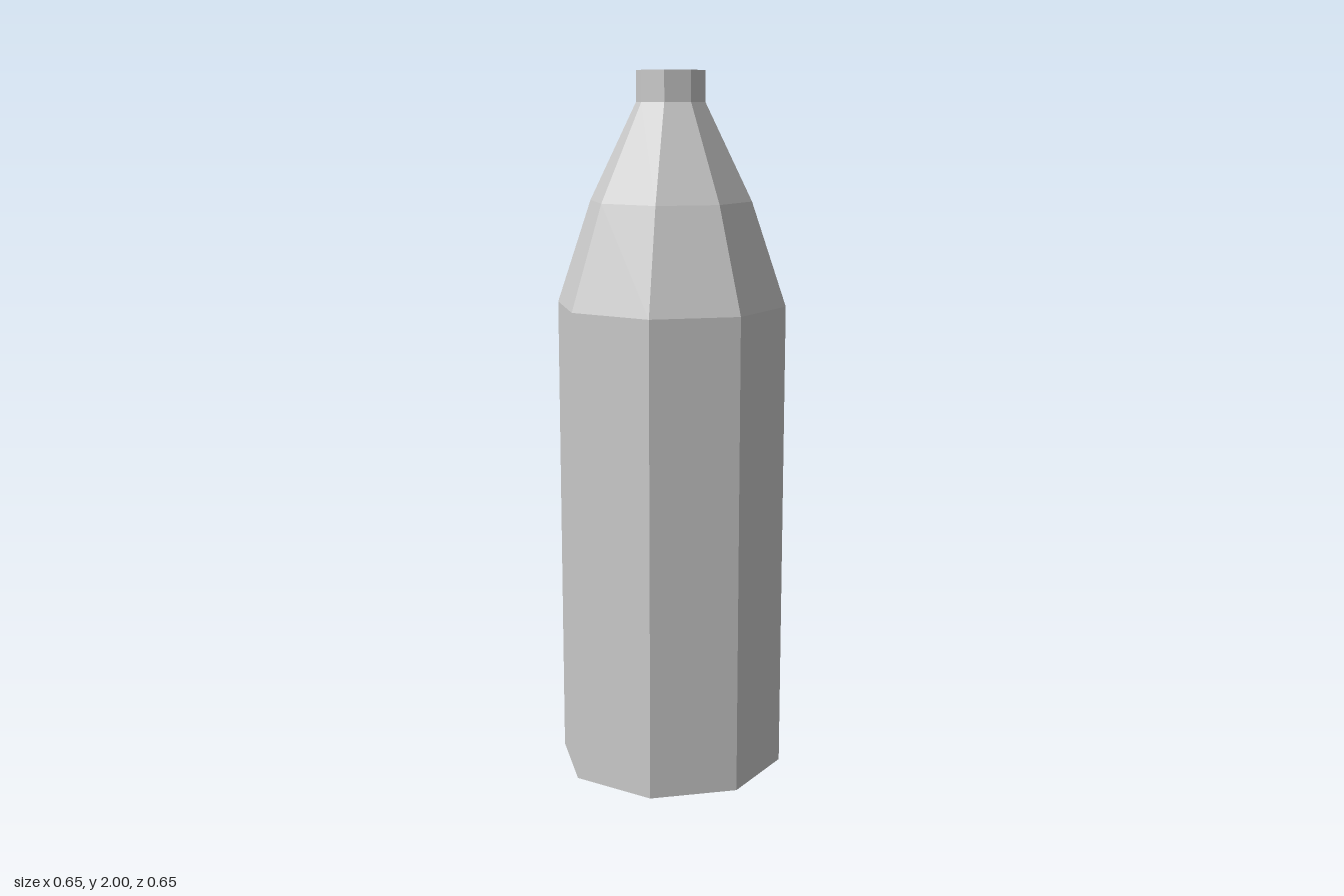
import * as THREE from 'three';

const SIDES = 8;
const BASE_RADIUS = 0.327;
const NECK_RADIUS = 0.097;
const HEIGHT = 2;

export function createModel() {
  const group = new THREE.Group();
  group.name = 'bottle';
  const material = new THREE.MeshStandardMaterial({ color: 0xcccccc, flatShading: true });

  const add = (name, geometry) => {
    const mesh = new THREE.Mesh(geometry, material);
    mesh.name = name;
    group.add(mesh);
    return mesh;
  };

  // Eight-sided wall: straight body, two-step shoulder, short neck
  const profile = [
    [BASE_RADIUS, 0],
    [BASE_RADIUS, 1.355],
    [0.229, 1.645],
    [NECK_RADIUS, 1.915],
    [NECK_RADIUS, HEIGHT],
  ].map(([r, y]) => new THREE.Vector2(r, y));
  add('wall', new THREE.LatheGeometry(profile, SIDES));

  // Flat closing faces
  const top = add('topCap', new THREE.CircleGeometry(NECK_RADIUS, SIDES).rotateX(-Math.PI / 2));
  top.position.y = HEIGHT;
  add('bottom', new THREE.CircleGeometry(BASE_RADIUS, SIDES).rotateX(Math.PI / 2));

  return group;
}
